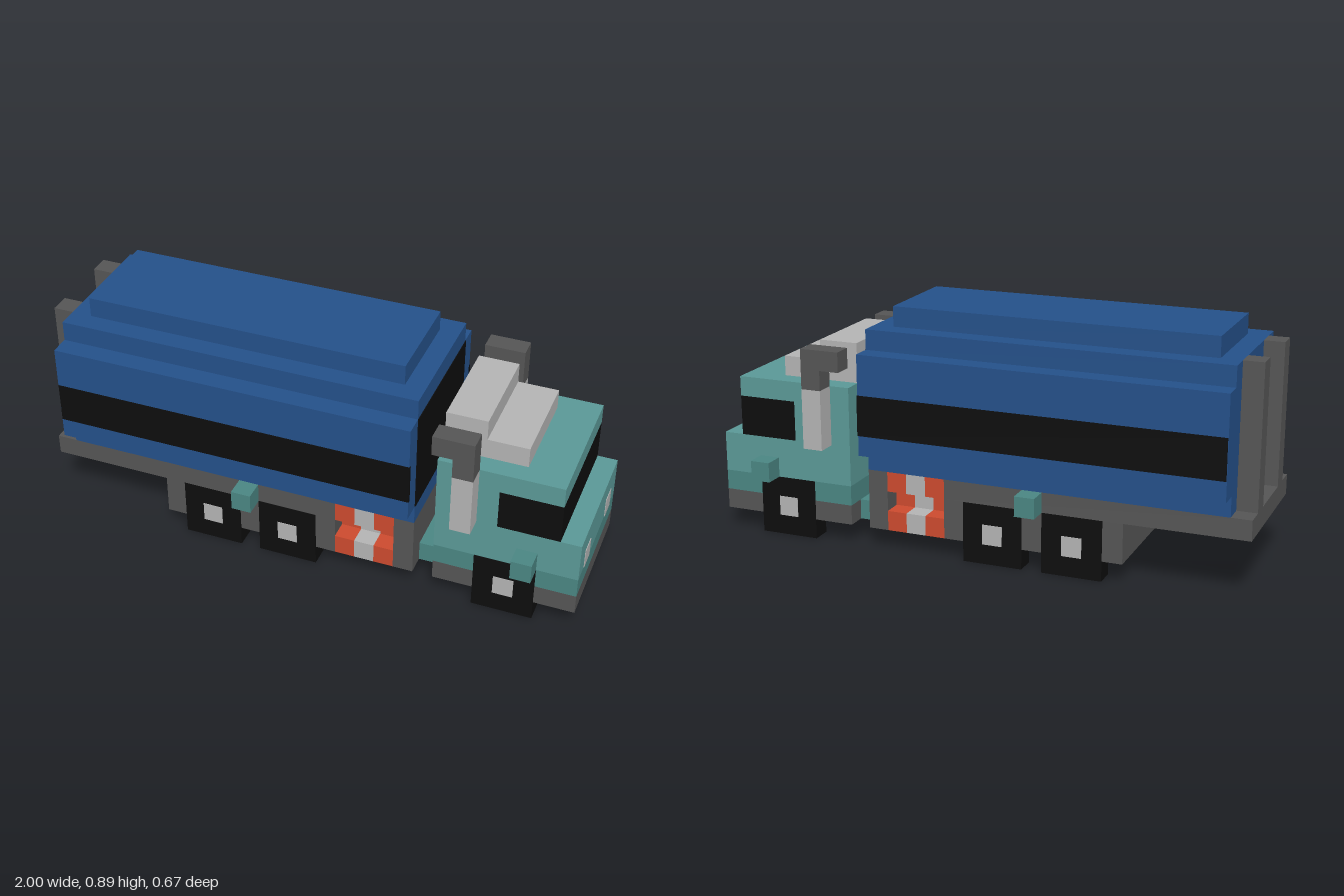
import * as THREE from 'three';

const U = 2 / 27; // one block
const mat = (color) => new THREE.MeshStandardMaterial({ color, flatShading: true });

export function createModel() {
  const truck = new THREE.Group();
  truck.name = 'truck';
  const blue = mat(0x245089), black = mat(0x0d0d0d), teal = mat(0x5a9896), darkTeal = mat(0x4a8582);
  const grey = mat(0x555555), light = mat(0xb3b3b3), orange = mat(0xcc4a2e);

  // Box between block coordinates: x from the rear (0) to the nose (27), y up, z from the centre line
  function box(name, material, x0, x1, y0, y1, z0, z1) {
    const mesh = new THREE.Mesh(new THREE.BoxGeometry((x1 - x0) * U, (y1 - y0) * U, (z1 - z0) * U), material);
    mesh.position.set(((x0 + x1) / 2) * U - 1, ((y0 + y1) / 2) * U, ((z0 + z1) / 2) * U);
    mesh.name = name;
    truck.add(mesh);
  }
  const wide = (name, m, x0, x1, y0, y1, halfZ) => box(name, m, x0, x1, y0, y1, -halfZ, halfZ);
  // Same box on both sides
  function pair(name, m, x0, x1, y0, y1, z0, z1) {
    box(name + 'Left', m, x0, x1, y0, y1, z0, z1);
    box(name + 'Right', m, x0, x1, y0, y1, -z1, -z0);
  }

  // Load body: stepped layers
  wide('bodyBase', blue, 1, 19, 4, 5, 3.5);
  wide('bodyMiddle', blue, 1, 19, 5, 10, 4.5);
  wide('bodyShoulder', blue, 1, 19, 10, 11, 3.5);
  wide('bodyTop', blue, 2, 18, 11, 12, 2.5);
  pair('bodyStripe', black, 1.02, 19.03, 6, 8, 4.4, 4.53);
  wide('bodyFrontPanel', black, 18.9, 19.04, 5, 10, 3.5);
  pair('rearPost', grey, 0, 1, 4, 11, 1.5, 2.5);

  // Chassis: core with side panels between wheels and steps
  wide('chassisCore', grey, 6, 19, 1, 3, 2.5);
  wide('chassisDeck', grey, 0, 19, 3, 4, 2.5);
  for (const [a, b] of [[6, 7], [10, 11], [14, 15], [18, 19]]) pair('chassisPanel', grey, a, b, 1, 3, 2.5, 3.5);
  for (const [a, b] of [[0, 15], [18, 19]]) pair('deckEdge', grey, a, b, 3, 4, 2.5, 3.5);
  wide('coupling', darkTeal, 19, 20, 1, 2, 2.5);

  // Striped side steps with a recess in the middle
  [orange, light, orange].forEach((m, i) => {
    const x = 15 + i;
    pair('lowerStep', m, x, x + 1, 1, 2, 2.5, 3.5);
    pair('stepBack', m, x, x + 1, 2, 3, 2.3, 2.53);
    pair('upperStep', m, x, x + 1, 3, 4, 2.5, 3.5);
  });

  // Square wheels and hubs
  for (const x of [7, 11, 22]) {
    pair('wheel', black, x, x + 3, 0, 3, 2.5, 3.52);
    pair('hub', light, x + 1, x + 2, 1, 2, 3.3, 3.55);
  }

  // Side lamps
  for (const x of [10, 24]) pair('sideLamp', darkTeal, x, x + 1, 3, 4, 3.5, 4.5);

  // Cab
  wide('bumper', grey, 20, 27, 1, 2, 3.5);
  wide('cabSill', darkTeal, 20, 27, 2, 3, 3.5);
  wide('cabLower', teal, 20, 27, 3, 5, 3.5);
  wide('cabBack', teal, 20, 23, 5, 7, 3.5);
  wide('windows', black, 23, 26, 5, 7, 3.5);
  wide('cabRoof', teal, 20, 26, 7, 8, 3.5);
  pair('headlight', light, 26.8, 27.03, 3, 4, 1.5, 2.5);
  wide('roofFairingLower', light, 20, 24, 8, 9, 2.5);
  wide('roofFairingUpper', light, 20, 22, 9, 10, 2.5);

  // Exhaust stacks bent towards the rear
  pair('exhaustPipe', light, 21, 22, 5, 8, 3.5, 4.5);
  pair('exhaustTop', grey, 21, 22, 8, 10, 3.5, 4.5);
  pair('exhaustOutlet', grey, 20, 21, 9, 10, 3.5, 4.5);

  return truck;
}
